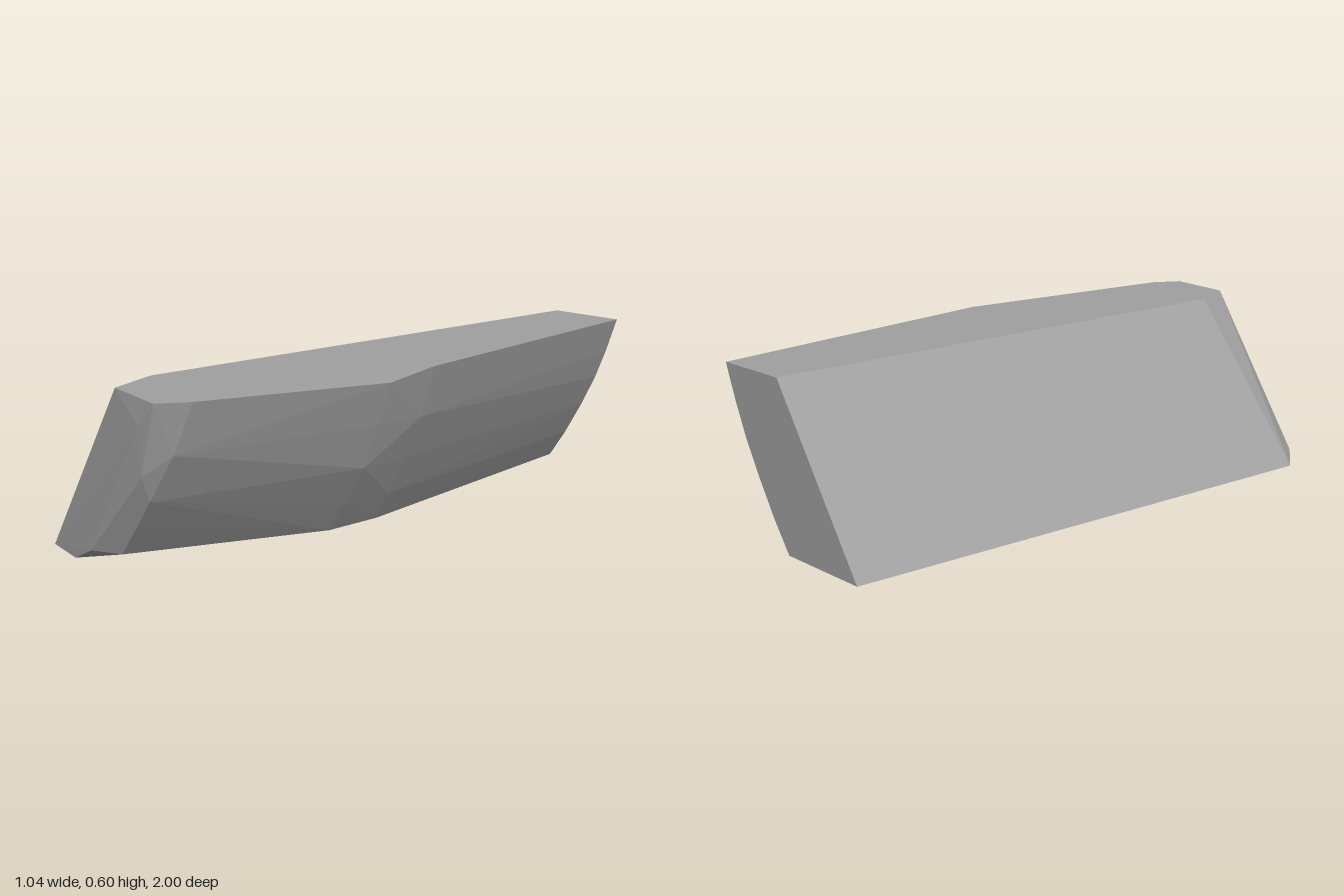
import * as THREE from 'three';
import { ConvexGeometry } from 'three/addons/geometries/ConvexGeometry.js';

// Leaning faceted stone block: flat top, bottom and back, bulging right flank, blunt nose.
export function createModel() {
  const stone = new THREE.MeshStandardMaterial({ color: 0xa0a0a0 });
  stone.name = 'grey stone';

  // right flank: cross-sections from the back end to the nose, bottom to top
  const flank = [
    [[0.25, 0, -1], [0.317, 0.11, -1], [0.385, 0.24, -1], [0.44, 0.36, -1], [0.48, 0.47, -1], [0.52, 0.6, -1]],
    [[0.21, 0, 0.05], [0.275, 0.11, 0.06], [0.35, 0.26, 0.06], [0.425, 0.42, 0.07], [0.48, 0.6, 0.08]],
    [[0.17, 0, 0.25], [0.24, 0.11, 0.25], [0.33, 0.26, 0.25], [0.39, 0.42, 0.25], [0.44, 0.57, 0.25]],
    [[-0.06, 0.06, 0.955], [0.02, 0.17, 0.955], [0.09, 0.27, 0.955], [0.18, 0.43, 0.93], [0.24, 0.6, 0.9]],
  ];

  // blunt nose, with a small chamfer under it
  const nose = [
    [-0.42, 0, 0.96], [-0.27, 0, 0.985], [-0.16, 0.06, 1],
    [0.1, 0.36, 0.99], [0.1, 0.52, 0.995], [0.17, 0.6, 0.99], [-0.06, 0.6, 0.95],
  ];

  // slanted left side
  const left = [[-0.52, 0, 0.8], [-0.1, 0.6, 0.78], [0.25, 0.6, -1], [-0.09, 0, -1]];

  const points = [...flank.flat(), ...nose, ...left].map((p) => new THREE.Vector3(...p));
  const block = new THREE.Mesh(new ConvexGeometry(points), stone);
  block.name = 'stoneBlock';

  const model = new THREE.Group();
  model.name = 'rock';
  model.add(block);
  return model;
}
